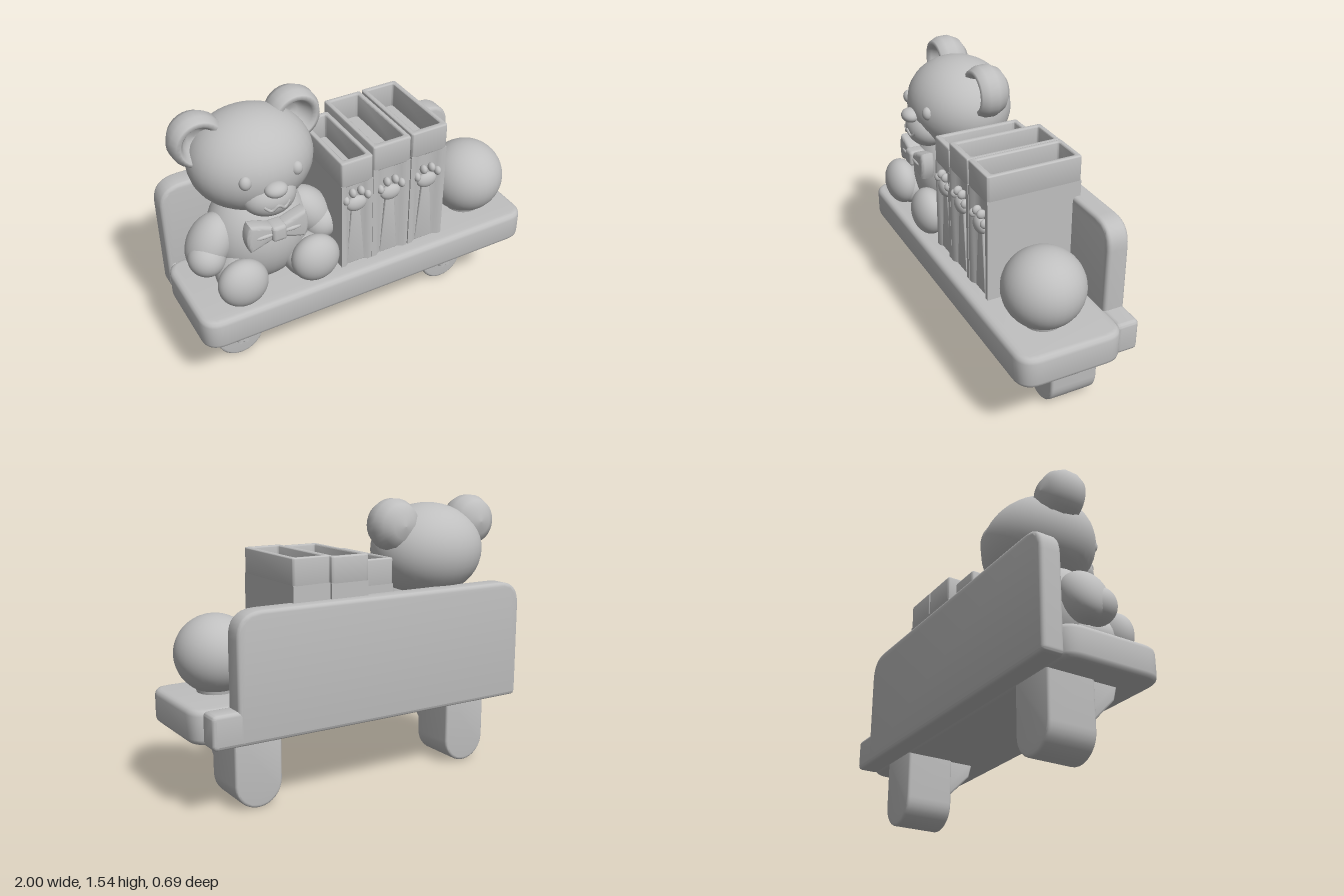
import * as THREE from 'three';
import { toCreasedNormals } from 'three/addons/utils/BufferGeometryUtils.js';

const plaster = new THREE.MeshStandardMaterial({ color: 0xbfbfbf });
plaster.name = 'plaster grey';

function add(parent, name, geometry, x = 0, y = 0, z = 0) {
  const mesh = new THREE.Mesh(geometry, plaster);
  mesh.name = name;
  mesh.position.set(x, y, z);
  parent.add(mesh);
  return mesh;
}

function group(parent, name, x = 0, y = 0, z = 0) {
  const g = new THREE.Group();
  g.name = name;
  g.position.set(x, y, z);
  parent.add(g);
  return g;
}

function ball(parent, name, [x, y, z], [rx, ry, rz]) {
  const mesh = add(parent, name, new THREE.SphereGeometry(1, 32, 22), x, y, z);
  mesh.scale.set(rx, ry, rz);
  return mesh;
}

// Rounded rectangle outline; each corner radius: bottom left/right, top right/left
function outline(x0, y0, x1, y1, bottom, top = bottom, Type = THREE.Shape) {
  const s = new Type();
  s.moveTo(x0 + bottom, y0);
  s.lineTo(x1 - bottom, y0);
  s.quadraticCurveTo(x1, y0, x1, y0 + bottom);
  s.lineTo(x1, y1 - top);
  s.quadraticCurveTo(x1, y1, x1 - top, y1);
  s.lineTo(x0 + top, y1);
  s.quadraticCurveTo(x0, y1, x0, y1 - top);
  s.lineTo(x0, y0 + bottom);
  s.quadraticCurveTo(x0, y0, x0 + bottom, y0);
  return s;
}

// Extrusion from z0 to z1 that keeps the outline's size despite its bevel
function extrude(shape, z0, z1, bevel) {
  const g = new THREE.ExtrudeGeometry(shape, {
    depth: z1 - z0 - 2 * bevel, bevelEnabled: bevel > 0, bevelSize: bevel,
    bevelThickness: bevel, bevelOffset: -bevel, bevelSegments: 3, curveSegments: 8,
  });
  g.translate(0, 0, z0 + bevel);
  return toCreasedNormals(g, 0.7);
}

// Same, standing upright: outline y runs along -z
const upright = (shape, y0, y1, bevel) => extrude(shape, y0, y1, bevel).rotateX(-Math.PI / 2);

function addShelf(root) {
  const shelf = group(root, 'shelf');
  add(shelf, 'shelfBoard', upright(outline(-1, -0.345, 1, 0.24, 0.11), 0.39, 0.57, 0.03));
  add(shelf, 'backPanel', extrude(outline(-0.98, 0.39, 0.81, 1.06, 0.03, 0.14), -0.345, -0.225, 0.02));
  add(shelf, 'backRail', extrude(outline(-0.97, 0.39, 0.95, 0.57, 0.03), -0.344, -0.22, 0.02));
}

function addBracket(root, x) {
  const bracket = group(root, 'bracket', x);
  // Plate with a round lower end
  const plate = new THREE.Shape();
  plate.moveTo(0.135, 0.42);
  plate.lineTo(-0.135, 0.42);
  plate.lineTo(-0.135, 0.135);
  plate.absarc(0, 0.135, 0.135, Math.PI, Math.PI * 2, false);
  add(bracket, 'bracketPlate', extrude(plate, -0.225, 0.05, 0.015));
  // Sloping brace under the board
  const brace = new THREE.Shape();
  [[0, 0.42], [0, 0.2], [0.06, 0.2], [0.175, 0.32], [0.2, 0.42]].forEach(([z, y], i) =>
    i ? brace.lineTo(-z, y) : brace.moveTo(-z, y));
  add(bracket, 'bracketBrace', extrude(brace, -0.12, 0.12, 0.01).rotateY(Math.PI / 2));
  // Screw with a cross on its head
  ball(bracket, 'screwHead', [0, 0.14, 0.05], [0.048, 0.048, 0.036]);
  for (const turn of [1, -1]) {
    add(bracket, 'screwCross', new THREE.BoxGeometry(0.07, 0.016, 0.02), 0, 0.14, 0.082).rotation.z = turn * Math.PI / 4;
  }
}

function addBook(root, x0, x1, top, back) {
  const front = 0.262, mid = (x0 + x1) / 2, w = x1 - x0;
  const book = group(root, 'book', mid);
  // Lower body with a hollowed spine
  const body = new THREE.Shape();
  body.moveTo(-w / 2, -front);
  body.lineTo(-w / 2 + 0.025, -front);
  body.quadraticCurveTo(0, -front + 0.06, w / 2 - 0.025, -front);
  body.lineTo(w / 2, -front);
  body.lineTo(w / 2, -back);
  body.lineTo(-w / 2, -back);
  add(book, 'bookBody', upright(body, 0.56, top - 0.14, 0));
  // Hollow upper sleeve
  const sleeve = outline(-w / 2, -front, w / 2, -back, 0.015);
  sleeve.holes.push(outline(-w / 2 + 0.028, -front + 0.035, w / 2 - 0.028, -back - 0.028, 0.015, 0.015, THREE.Path));
  add(book, 'bookSleeve', upright(sleeve, top - 0.15, top, 0.008));
  // Ribbon that widens toward the shelf
  const ribbon = new THREE.Shape();
  ribbon.moveTo(-0.055, 0.57);
  ribbon.lineTo(0.055, 0.57);
  ribbon.lineTo(0.025, 0.95);
  ribbon.lineTo(-0.025, 0.95);
  add(book, 'spineRibbon', extrude(ribbon, 0.225, 0.25, 0.006));
  // Paw ornament
  ball(book, 'pawPad', [0, 0.965, 0.25], [0.06, 0.045, 0.03]);
  [[-0.065, 1.005], [-0.025, 1.04], [0.025, 1.04], [0.065, 1.005]].forEach(([x, y]) =>
    ball(book, 'pawToe', [x, y, 0.255], [0.019, 0.026, 0.025]));
}

function addBear(root) {
  const bear = group(root, 'bear', -0.535);
  ball(bear, 'body', [0, 0.82, -0.01], [0.28, 0.3, 0.235]);
  ball(bear, 'head', [0, 1.24, -0.045], [0.33, 0.265, 0.29]);
  ball(bear, 'muzzle', [0, 1.13, 0.16], [0.145, 0.11, 0.115]);
  ball(bear, 'nose', [0, 1.215, 0.255], [0.06, 0.04, 0.05]);
  // Mouth line
  const smile = new THREE.CatmullRomCurve3([[-0.07, 1.13, 0.257], [-0.035, 1.105, 0.268],
    [0, 1.13, 0.276], [0.035, 1.105, 0.268], [0.07, 1.13, 0.257]].map(p => new THREE.Vector3(...p)));
  add(bear, 'mouth', new THREE.TubeGeometry(smile, 20, 0.009, 6));

  // Cupped ear, turned around its front axis
  const earProfile = [[0, -0.105], [0.07, -0.095], [0.12, -0.06], [0.145, -0.005], [0.143, 0.05],
    [0.125, 0.09], [0.105, 0.095], [0.09, 0.075], [0.07, 0.03], [0.04, 0.005], [0, 0]];
  const ear = new THREE.LatheGeometry(earProfile.map(p => new THREE.Vector2(...p)), 28).rotateX(Math.PI / 2);

  for (const s of [-1, 1]) {
    add(bear, 'ear', ear, s * 0.262, 1.395, -0.105);
    ball(bear, 'eye', [s * 0.138, 1.268, 0.207], [0.032, 0.038, 0.03]);
    // Arm hanging outward, with a rounded hand
    ball(bear, 'arm', [s * 0.285, 0.835, 0.02], [0.115, 0.17, 0.125]).rotation.z = s * 0.55;
    ball(bear, 'hand', [s * 0.325, 0.78, 0.07], [0.1, 0.1, 0.1]);
    // Leg stretched forward, ending in a round foot
    ball(bear, 'leg', [s * 0.185, 0.67, 0.15], [0.12, 0.115, 0.18]);
    ball(bear, 'foot', [s * 0.207, 0.7, 0.25], [0.135, 0.135, 0.095]);
  }

  // Bow tie: two flared loops and a knot
  const bow = group(bear, 'bowTie', 0, 0.955, 0.235);
  const loop = new THREE.Shape();
  loop.moveTo(0.01, -0.03);
  loop.quadraticCurveTo(0.08, -0.07, 0.15, -0.08);
  loop.quadraticCurveTo(0.19, 0, 0.155, 0.08);
  loop.quadraticCurveTo(0.08, 0.06, 0.01, 0.03);
  const loopGeometry = extrude(loop, -0.05, 0.03, 0.018);
  for (const turn of [0, Math.PI]) {
    const side = group(bow, 'bowLoop');
    side.rotation.z = turn;
    add(side, 'bowWing', loopGeometry);
    ball(side, 'bowFold', [0.075, 0, 0.027], [0.05, 0.012, 0.012]);
  }
  add(bow, 'bowKnot', extrude(outline(-0.04, -0.045, 0.04, 0.045, 0.02), -0.05, 0.048, 0.018));
}

export function createModel() {
  const root = new THREE.Group();
  root.name = 'bearShelf';
  addShelf(root);
  addBracket(root, -0.705);
  addBracket(root, 0.645);
  addBook(root, -0.175, 0.01, 1.24, -0.23);
  addBook(root, 0.012, 0.236, 1.28, -0.275);
  addBook(root, 0.242, 0.46, 1.287, -0.27);
  addBear(root);
  // Ball resting on a small collar
  ball(root, 'ball', [0.73, 0.77, 0.088], [0.216, 0.21, 0.216]);
  add(root, 'ballCollar', new THREE.CylinderGeometry(0.11, 0.1, 0.05, 32), 0.73, 0.585, 0.088);
  return root;
}
